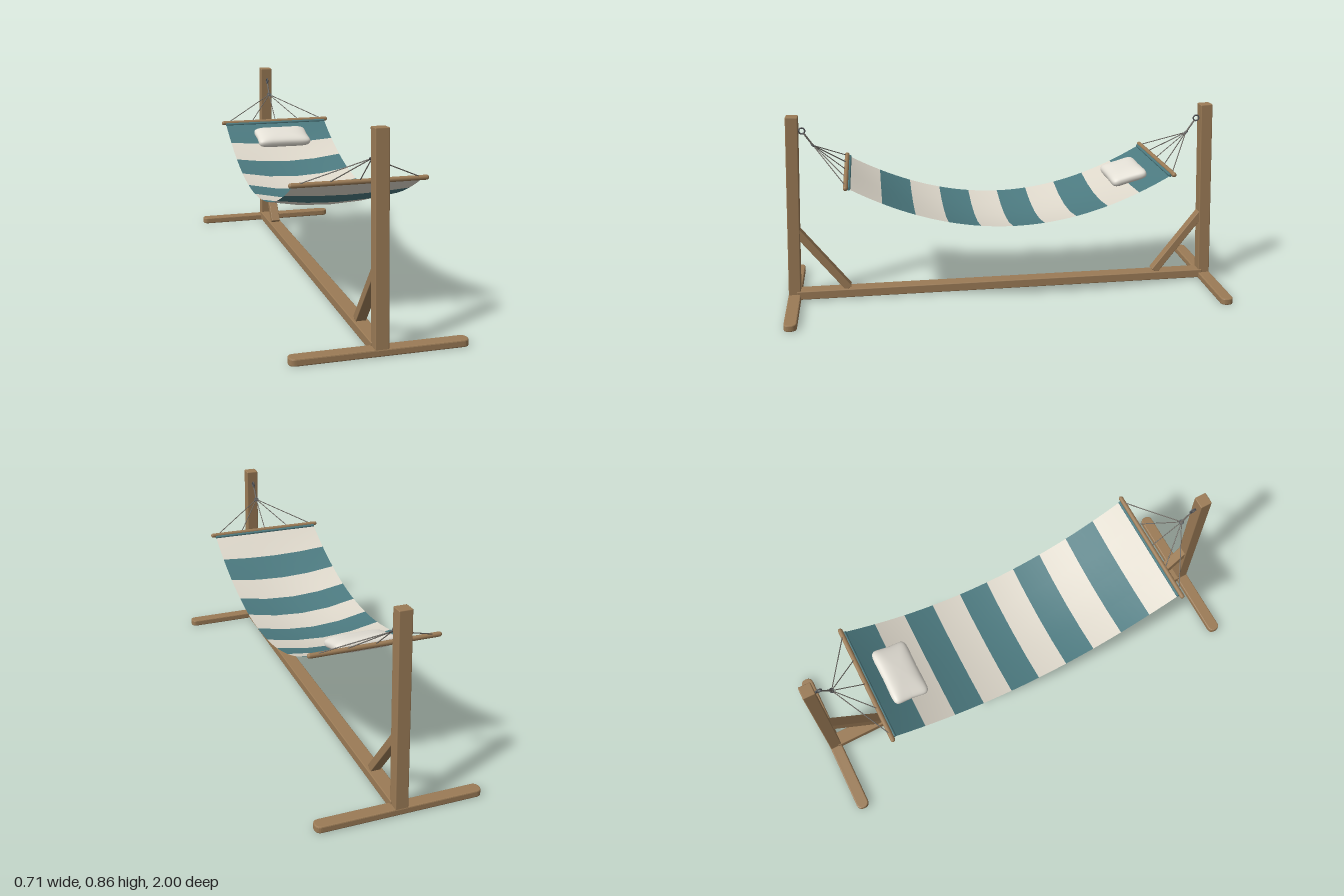
import * as THREE from 'three';
import { RoundedBoxGeometry } from 'three/addons/geometries/RoundedBoxGeometry.js';

const mat = (name, color, side = THREE.FrontSide) => {
  const m = new THREE.MeshStandardMaterial({ color, side });
  m.name = name;
  return m;
};

export function createModel() {
  const wood = mat('wood', 0x9b7b56);
  const teal = mat('teal cloth', 0x4c7a80, THREE.DoubleSide);
  const cream = mat('cream cloth', 0xded8cb, THREE.DoubleSide);
  const linen = mat('pillow linen', 0xe4e0d6);
  const rope = mat('rope', 0x6e6a64);
  const metal = mat('metal', 0x55575a);

  const model = new THREE.Group();
  model.name = 'hammockWithStand';

  const add = (parent, name, geo, material, pos = [0, 0, 0]) => {
    const m = new THREE.Mesh(geo, material);
    m.name = name;
    m.position.set(...pos);
    parent.add(m);
    return m;
  };
  // Stretch a shape built along y between two points
  const span = (mesh, a, b) => {
    const dir = b.clone().sub(a).normalize();
    mesh.position.copy(a).add(b).multiplyScalar(0.5);
    mesh.quaternion.setFromUnitVectors(new THREE.Vector3(0, 1, 0), dir);
    return mesh;
  };
  const V = (x, y, z) => new THREE.Vector3(x, y, z);
  const cord = (parent, name, a, b, r, material) =>
    span(add(parent, name, new THREE.CylinderGeometry(r, r, a.distanceTo(b), 8), material), a, b);

  // Long base rail
  add(model, 'baseRail', new RoundedBoxGeometry(0.064, 0.04, 1.92, 2, 0.004), wood, [0, 0.025, 0]);

  // Foot outline with rounded ends, extruded upward
  const footShape = () => {
    const w = 0.35, d = 0.023, r = 0.021;
    const s = new THREE.Shape();
    s.moveTo(-w + r, -d);
    s.lineTo(w - r, -d);
    s.quadraticCurveTo(w, -d, w, 0);
    s.quadraticCurveTo(w, d, w - r, d);
    s.lineTo(-w + r, d);
    s.quadraticCurveTo(-w, d, -w, 0);
    s.quadraticCurveTo(-w, -d, -w + r, -d);
    return s;
  };

  // One end of the stand with its rigging; the other is the same turned round
  for (const [side, turn] of [['front', 0], ['back', Math.PI]]) {
    const end = new THREE.Group();
    end.name = side + 'End';
    end.rotation.y = turn;
    model.add(end);

    const foot = new THREE.ExtrudeGeometry(footShape(), {
      depth: 0.02, bevelEnabled: true, bevelThickness: 0.005, bevelSize: 0.005, bevelSegments: 2, curveSegments: 6,
    });
    foot.rotateX(-Math.PI / 2);
    add(end, 'foot', foot, wood, [0, 0.005, 0.972]);

    // Leaning post and its diagonal brace
    const pA = V(0, 0.018, 0.972), pB = V(0, 0.856, 0.932);
    span(add(end, 'post', new RoundedBoxGeometry(0.056, pA.distanceTo(pB), 0.054, 2, 0.004), wood), pA, pB);
    const bA = V(0, 0.046, 0.726), bB = V(0, 0.338, 0.95);
    span(add(end, 'brace', new RoundedBoxGeometry(0.044, bA.distanceTo(bB), 0.034, 2, 0.003), wood), bA, bB);

    // Eye bolt, hanging rope and gathering ring
    cord(end, 'eyeBolt', V(0, 0.791, 0.935), V(0, 0.791, 0.905), 0.005, metal);
    const eye = add(end, 'eyeRing', new THREE.TorusGeometry(0.013, 0.0035, 8, 20), metal, [0, 0.79, 0.893]);
    eye.rotation.y = Math.PI / 2;
    const knot = V(0, 0.723, 0.848);
    cord(end, 'hangingRope', V(0, 0.78, 0.886), knot, 0.004, rope);
    const ring = add(end, 'gatherRing', new THREE.TorusGeometry(0.009, 0.003, 8, 16), metal, knot.toArray());
    ring.rotation.x = 0.9;

    // Cords fanning out to the spreader bar
    for (const x of [-0.25, -0.125, 0, 0.125, 0.25]) {
      cord(end, 'fanCord', knot, V(x, 0.606, 0.709), 0.0022, rope);
    }
    const bar = add(end, 'spreaderBar', new THREE.CapsuleGeometry(0.0105, 0.549, 4, 12), wood, [0, 0.603, 0.71]);
    bar.rotation.z = Math.PI / 2;
    const hem = add(end, 'hem', new THREE.CylinderGeometry(0.007, 0.007, 0.528, 10), teal, [0, 0.597, 0.697]);
    hem.rotation.z = Math.PI / 2;
  }

  // Sagging striped cloth: ten stripes, four rows of faces each
  const half = 0.7, halfW = 0.264, across = 4, rows = 4, stripes = 10;
  const sag = (x, z) => {
    const t = (z / half) ** 2;
    return 0.398 + 0.2 * t - 0.035 * (1 - (x / halfW) ** 2) * (1 - t);
  };
  const cloth = new THREE.PlaneGeometry(halfW * 2, half * 2, across, rows * stripes);
  cloth.rotateX(-Math.PI / 2);
  const cp = cloth.attributes.position;
  for (let i = 0; i < cp.count; i++) cp.setY(i, sag(cp.getX(i), cp.getZ(i)));
  cloth.computeVertexNormals();
  const perStripe = across * rows * 6;
  for (let i = 0; i < stripes; i++) cloth.addGroup(i * perStripe, perStripe, i % 2);
  add(model, 'stripedCloth', cloth, [teal, cream]);

  // Plump pillow: a squared-off sphere with slightly drawn-in sides
  const pillow = new THREE.SphereGeometry(1, 48, 24);
  const pp = pillow.attributes.position;
  const pw = (v, e) => Math.sign(v) * Math.abs(v) ** e;
  for (let i = 0; i < pp.count; i++) {
    const y = THREE.MathUtils.clamp(pp.getY(i), -1, 1);
    const a = Math.atan2(pp.getZ(i), pp.getX(i));
    const r = Math.sqrt(1 - y * y) ** 0.6;
    const x = r * pw(Math.cos(a), 0.35), z = r * pw(Math.sin(a), 0.35);
    pp.setXYZ(i, 0.14 * x * (0.93 + 0.09 * z * z), 0.031 * pw(y, 0.8), 0.087 * z * (0.93 + 0.09 * x * x));
  }
  pillow.computeVertexNormals();
  const p = add(model, 'pillow', pillow, linen, [0, 0.547, -0.556]);
  p.rotation.x = 0.27;

  return model;
}
